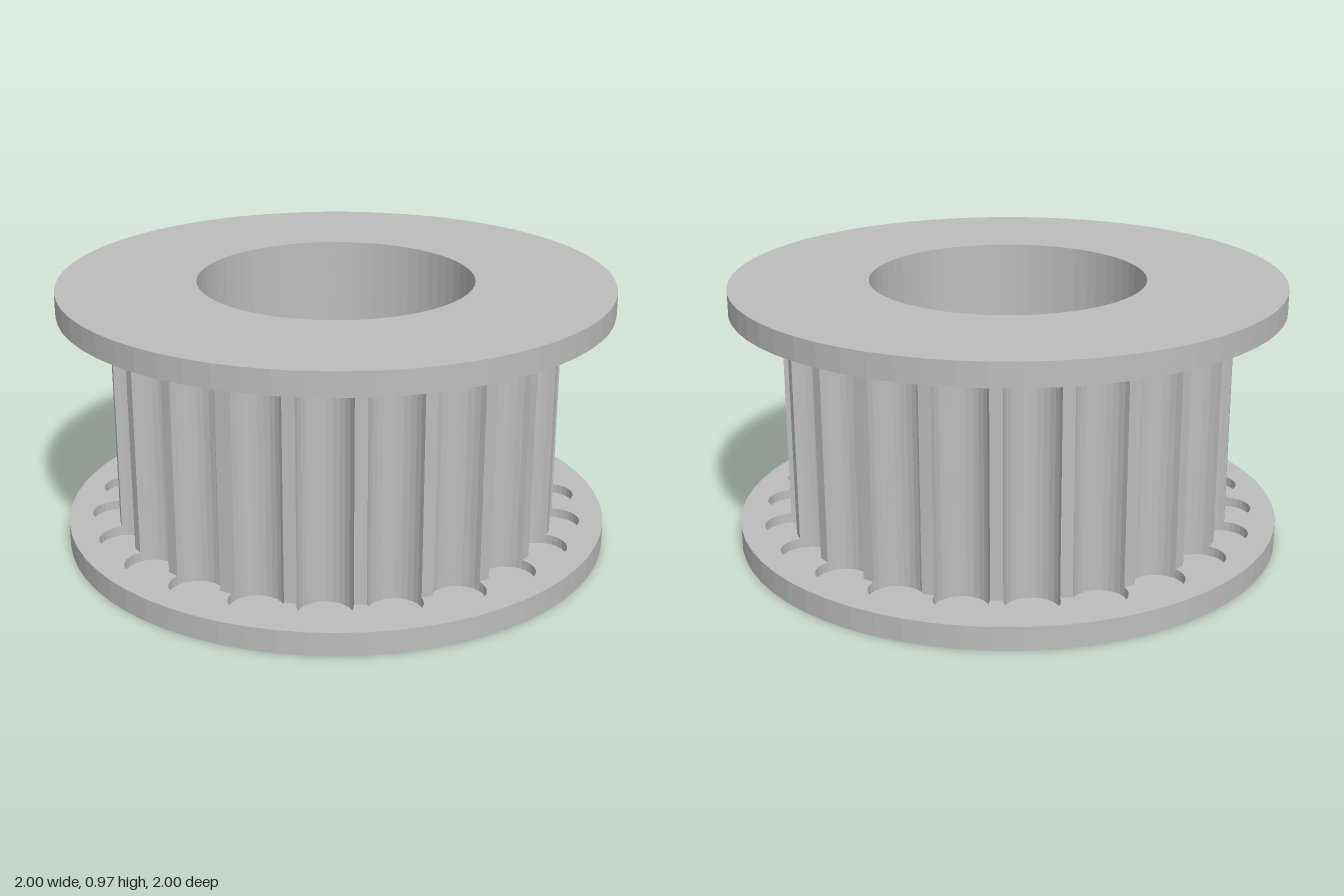
import * as THREE from 'three';
import { mergeGeometries } from 'three/addons/utils/BufferGeometryUtils.js';

const HEIGHT = 0.97, FLANGE = 0.085, POCKET = 0.035; // pocket: groove depth into each flange
const RIM = 1, BORE = 0.5, LAND = 0.815;
const TEETH = 22, GROOVE_AT = 0.82, GROOVE_R = 0.095;
const PITCH = (Math.PI * 2) / TEETH;

// Plan points: x right, y towards the back, counter-clockwise from above
function circle(radius, n) {
  return Array.from({ length: n }, (_, i) => {
    const a = (i / n) * Math.PI * 2;
    return new THREE.Vector2(radius * Math.cos(a), radius * Math.sin(a));
  });
}

// Arc of one groove circle; t is measured from the outward radial direction
function grooveArc(phi, from, to, n) {
  return Array.from({ length: n + 1 }, (_, i) => {
    const t = phi + from + ((to - from) * i) / n;
    return new THREE.Vector2(
      GROOVE_AT * Math.cos(phi) + GROOVE_R * Math.cos(t),
      GROOVE_AT * Math.sin(phi) + GROOVE_R * Math.sin(t));
  });
}

// Vertical faceted wall along a path, facing to the right of travel
function wall(path, y0, y1) {
  const pos = [];
  for (let i = 0; i < path.length - 1; i++) {
    const a = path[i], b = path[i + 1];
    pos.push(a.x, y0, -a.y, b.x, y0, -b.y, b.x, y1, -b.y);
    pos.push(a.x, y0, -a.y, b.x, y1, -b.y, a.x, y1, -a.y);
  }
  const g = new THREE.BufferGeometry();
  g.setAttribute('position', new THREE.Float32BufferAttribute(pos, 3));
  g.computeVertexNormals();
  return g;
}

// Flat horizontal face, facing up or down
function face(outline, hole, y, up = true) {
  const shape = new THREE.Shape(outline);
  if (hole) shape.holes.push(new THREE.Path(hole));
  const g = new THREE.ShapeGeometry(shape).toNonIndexed();
  g.deleteAttribute('uv');
  g.rotateX(up ? -Math.PI / 2 : Math.PI / 2);
  return g.translate(0, y, 0);
}

export function createModel() {
  const model = new THREE.Group();
  model.name = 'timingPulley';
  const metal = new THREE.MeshStandardMaterial({ color: 0xbdbdbd });
  metal.name = 'greyMetal';
  const add = (parent, name, parts) => {
    const mesh = new THREE.Mesh(mergeGeometries(parts), metal);
    mesh.name = name;
    parent.add(mesh);
  };

  // Where each groove circle meets the land radius
  const a = Math.acos((LAND ** 2 + GROOVE_AT ** 2 - GROOVE_R ** 2) / (2 * LAND * GROOVE_AT));
  const t0 = Math.atan2(LAND * Math.sin(a), LAND * Math.cos(a) - GROOVE_AT);
  const grooves = Array.from({ length: TEETH }, (_, i) => {
    const phi = i * PITCH;
    return {
      outer: grooveArc(phi, -t0, t0, 14),
      inner: grooveArc(phi, 2 * Math.PI - t0, t0, 12),
    };
  });

  // Toothed core: concave groove walls with narrow lands between them
  const grooveWalls = [], lands = [];
  grooves.forEach(({ inner }, i) => {
    const next = grooves[(i + 1) % TEETH].inner;
    grooveWalls.push(wall(inner, FLANGE - POCKET, HEIGHT - FLANGE + POCKET));
    lands.push(wall([inner[inner.length - 1], next[0]], FLANGE, HEIGHT - FLANGE));
  });
  add(model, 'grooves', grooveWalls);
  add(model, 'toothLands', lands);

  // Central bore
  const bore = circle(BORE, 64), rim = circle(RIM, 64);
  add(model, 'bore', [wall([...bore, bore[0]].reverse(), 0, HEIGHT)]);

  // Flange: rim, outside face, inside face and the round groove pockets
  const pocketOutline = grooves.flatMap(g => g.outer);
  function makeFlange(name) {
    const flange = new THREE.Group();
    flange.name = name;
    add(flange, 'flangeDisc', [
      wall([...rim, rim[0]], 0, FLANGE),
      face(rim, bore, 0, false),
      face(rim, pocketOutline, FLANGE),
    ]);
    add(flange, 'groovePockets', grooves.flatMap(({ outer, inner }) => [
      wall([...outer].reverse(), FLANGE - POCKET, FLANGE),
      face([...outer, ...[...inner].reverse().slice(1, -1)], null, FLANGE - POCKET),
    ]));
    model.add(flange);
    return flange;
  }
  makeFlange('bottomFlange');
  const top = makeFlange('topFlange');
  top.rotation.z = Math.PI;
  top.position.y = HEIGHT;

  return model;
}
